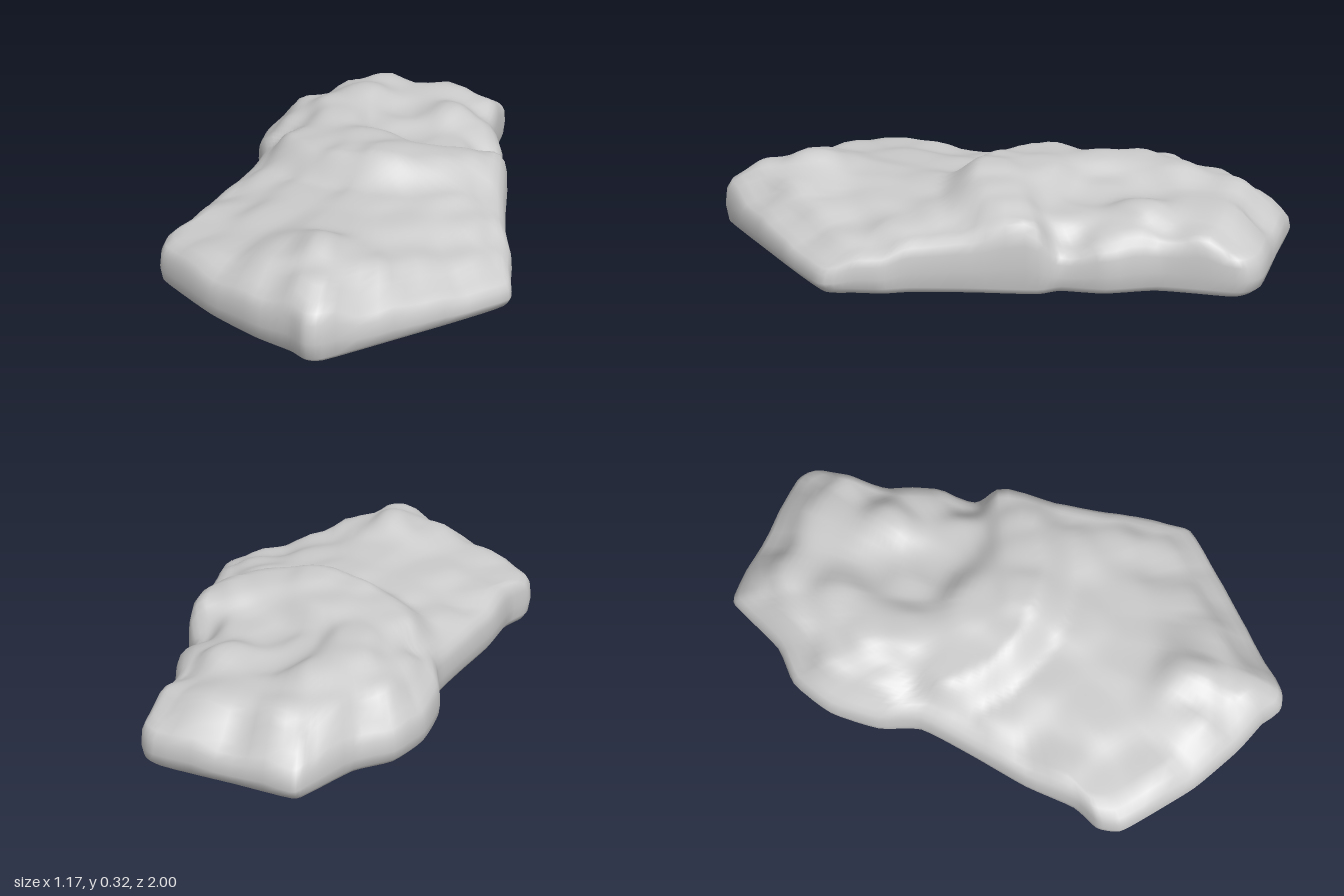
import * as THREE from 'three';

// Footprint of the slab as (x, z), running from +x towards +z
const OUTLINE = [
  [0.54, -0.2], [0.57, -0.12], [0.56, 0.1], [0.56, 0.3], [0.577, 0.4], [0.572, 0.5], [0.565, 0.6],
  [0.4, 0.72], [0.2, 0.85], [-0.02, 0.99], [-0.08, 0.99], [-0.13, 0.94], [-0.25, 0.86],
  [-0.4, 0.73], [-0.53, 0.58], [-0.59, 0.5], [-0.59, 0.42], [-0.53, 0.33], [-0.48, 0.15],
  [-0.4, -0.05], [-0.33, -0.25], [-0.35, -0.4], [-0.32, -0.58], [-0.24, -0.72], [-0.12, -0.8],
  [0, -0.96], [0.05, -1], [0.25, -0.94], [0.52, -0.86], [0.575, -0.79], [0.55, -0.65],
  [0.53, -0.52], [0.56, -0.35],
];

// Height samples (x, z, height) of the lower front shelf
const SHELF = [
  [-0.56, 0.46, 0.165], [-0.48, 0.42, 0.175], [-0.38, 0.6, 0.195], [-0.4, 0.72, 0.16],
  [-0.4, 0.25, 0.185], [-0.46, 0.15, 0.15], [-0.28, 0, 0.195], [-0.38, -0.05, 0.15],
  [-0.33, -0.22, 0.15], [-0.22, 0.35, 0.21], [-0.17, 0.68, 0.24], [-0.05, 0.68, 0.295],
  [-0.22, 0.86, 0.18], [-0.06, 0.84, 0.25], [-0.06, 0.96, 0.2], [0.08, 0.7, 0.24],
  [0.12, 0.88, 0.14], [0.22, 0.6, 0.2], [0.3, 0.76, 0.125], [0.4, 0.52, 0.165], [0.45, 0.67, 0.105],
  [0.56, 0.59, 0.1], [0.56, 0.42, 0.14], [0, 0.45, 0.23], [0.2, 0.4, 0.22], [0.42, 0.34, 0.205],
  [0.55, 0.27, 0.185], [0.1, 0.25, 0.235], [0.35, 0.2, 0.235], [0.56, 0.1, 0.2], [-0.1, 0.15, 0.215],
];

// Height samples of the raised back block: a curved lip with a hollow behind it
const BLOCK = [
  [-0.1, -0.05, 0.28], [0, 0.03, 0.3], [0.13, 0.04, 0.322], [0.3, 0.04, 0.3], [0.42, 0, 0.29],
  [0.52, -0.06, 0.255], [-0.17, -0.18, 0.275], [-0.3, -0.28, 0.18], [-0.34, -0.42, 0.145],
  [-0.22, -0.4, 0.235], [-0.31, -0.58, 0.14], [-0.18, -0.58, 0.245], [-0.24, -0.7, 0.135],
  [-0.05, -0.35, 0.29], [-0.07, -0.48, 0.288], [0.08, -0.12, 0.3], [0.13, -0.35, 0.24],
  [0.22, -0.3, 0.21], [0.2, -0.5, 0.22], [0.03, -0.6, 0.285], [0.22, -0.68, 0.235],
  [0.36, -0.22, 0.225], [0.53, -0.22, 0.13], [0.36, -0.47, 0.265], [0.47, -0.38, 0.215],
  [0.55, -0.35, 0.17], [0.53, -0.55, 0.175], [0.36, -0.72, 0.24], [0.46, -0.66, 0.215],
  [0.1, -0.8, 0.26], [0.05, -0.9, 0.2], [0.05, -0.98, 0.11], [0.25, -0.92, 0.125],
  [0.5, -0.84, 0.15], [0.56, -0.78, 0.15], [-0.04, -0.74, 0.25], [-0.12, -0.79, 0.135],
  [-0.02, -0.92, 0.125],
];

// Inverse-distance blend of height samples
function blend(samples, x, z) {
  let sum = 0, total = 0;
  for (const [sx, sz, h] of samples) {
    const w = 1 / ((x - sx) ** 2 + (z - sz) ** 2 + 0.006) ** 2.4;
    sum += w * h;
    total += w;
  }
  return sum / total;
}

// Top height: the block ends in a curved step above the shelf
function topHeight(x, z) {
  const reach = Math.hypot((x - 0.2) / 0.57, Math.max(0, z + 0.45) / 0.63);
  const onBlock = z < -0.45 ? 1 : 1 - THREE.MathUtils.smoothstep(reach, 0.85, 1.08);
  const crumple = 0.003 * Math.sin(17 * x + 5 * z) * Math.sin(13 * z - 6 * x);
  return THREE.MathUtils.lerp(blend(SHELF, x, z), blend(BLOCK, x, z), onBlock) + crumple;
}

const CENTRE = { x: 0.1, z: 0 };
const SEGMENTS = 132;

function createRockGeometry() {
  const curve = new THREE.CatmullRomCurve3(
    OUTLINE.map(([x, z]) => new THREE.Vector3(x, 0, z)), true, 'catmullrom', 0.3);
  const rim = curve.getPoints(SEGMENTS).slice(0, SEGMENTS);

  // Rings from underside to top: outline scale, fixed height, share of the top height
  const rings = [[0.9, 0, 0], [0.965, 0.006, 0], [0.99, 0.026, 0], [1, 0, 0.42],
    [0.992, 0, 0.72], [0.972, 0, 0.88], [0.935, 0, 0.97]];
  const inner = 34;
  for (let i = 0; i < inner; i++) rings.push([0.89 * (1 - i / inner), 0, 1]);

  const positions = [];
  const index = [];
  for (const [scale, base, share] of rings) {
    for (const p of rim) {
      const x = CENTRE.x + (p.x - CENTRE.x) * scale;
      const z = CENTRE.z + (p.z - CENTRE.z) * scale;
      positions.push(x, base + share * topHeight(x, z), z);
    }
  }
  for (let i = 0; i < rings.length - 1; i++) {
    for (let j = 0; j < SEGMENTS; j++) {
      const k = (j + 1) % SEGMENTS;
      const a = i * SEGMENTS + j, b = i * SEGMENTS + k;
      index.push(a, a + SEGMENTS, b, b, a + SEGMENTS, b + SEGMENTS);
    }
  }

  // Close the middle of the top and the flat underside
  const last = (rings.length - 1) * SEGMENTS;
  const top = positions.length / 3;
  const under = top + 1;
  positions.push(CENTRE.x, topHeight(CENTRE.x, CENTRE.z), CENTRE.z);
  positions.push(CENTRE.x, 0, CENTRE.z);
  for (let j = 0; j < SEGMENTS; j++) {
    const k = (j + 1) % SEGMENTS;
    index.push(last + j, top, last + k);
    index.push(under, j, k);
  }

  const geometry = new THREE.BufferGeometry();
  geometry.setAttribute('position', new THREE.Float32BufferAttribute(positions, 3));
  geometry.setIndex(index);
  geometry.computeVertexNormals();
  return geometry;
}

export function createModel() {
  const group = new THREE.Group();
  group.name = 'rock';
  const slab = new THREE.Mesh(createRockGeometry(), new THREE.MeshStandardMaterial({ color: 0xcccccc }));
  slab.name = 'rockSlab';
  group.add(slab);
  return group;
}
